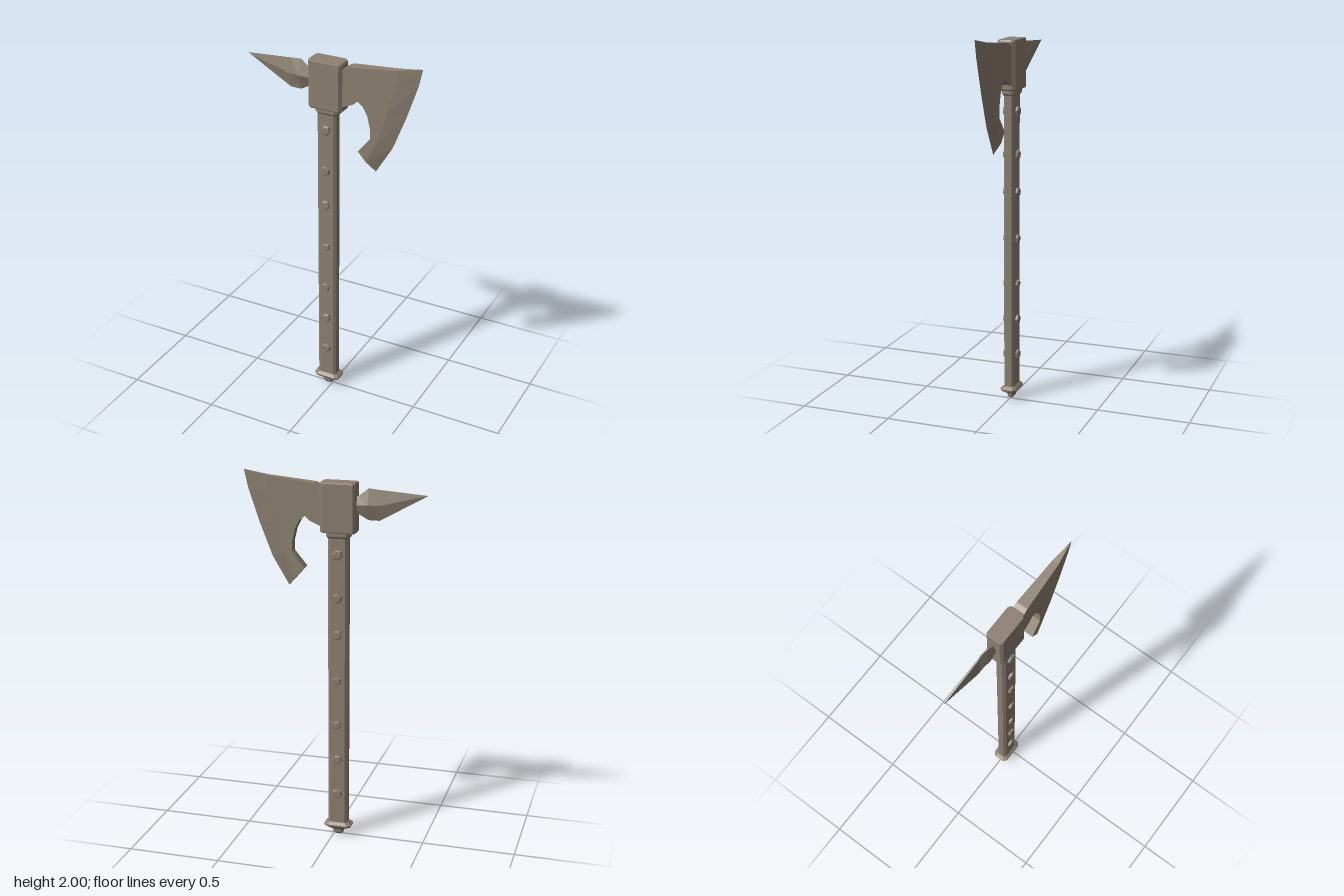
import * as THREE from 'three';

const steel = new THREE.MeshStandardMaterial({ color: 0x8c8071 });
steel.name = 'weathered steel';

// Flat-faced skin over a row of rings, each counterclockwise seen from the far end.
function loft(rings) {
  const pos = [];
  const tri = (a, b, c) => pos.push(...a, ...b, ...c);
  const n = rings[0].length;
  for (let i = 0; i < rings.length - 1; i++) {
    const a = rings[i], b = rings[i + 1];
    for (let j = 0; j < n; j++) {
      const k = (j + 1) % n;
      tri(a[j], a[k], b[k]);
      tri(a[j], b[k], b[j]);
    }
  }
  const first = rings[0], last = rings[rings.length - 1];
  for (let j = 1; j < n - 1; j++) {
    tri(first[0], first[j + 1], first[j]);
    tri(last[0], last[j], last[j + 1]);
  }
  const g = new THREE.BufferGeometry();
  g.setAttribute('position', new THREE.Float32BufferAttribute(pos, 3));
  g.computeVertexNormals();
  return g;
}

// Chamfered rectangle lying flat at height y.
function octagon(y, hx, hz, cx, cz, x = -0.025) {
  return [
    [hx, -hz + cz], [hx - cx, -hz], [-hx + cx, -hz], [-hx, -hz + cz],
    [-hx, hz - cz], [-hx + cx, hz], [hx - cx, hz], [hx, hz - cz],
  ].map(([px, pz]) => [x + px, y, pz]);
}

export function createModel() {
  const model = new THREE.Group();
  const add = (name, geometry, parent = model) => {
    const m = new THREE.Mesh(geometry, steel);
    m.name = name;
    parent.add(m);
    return m;
  };

  // Handle, collar and pommel
  add('handle', loft([
    octagon(0.06, 0.054, 0.029, 0.014, 0.012),
    octagon(1.69, 0.054, 0.029, 0.014, 0.012),
  ]));
  add('collar', loft([
    octagon(1.67, 0.056, 0.031, 0.014, 0.012),
    octagon(1.68, 0.062, 0.037, 0.014, 0.012),
    octagon(1.71, 0.062, 0.037, 0.014, 0.012),
  ]));
  add('pommel', loft([
    octagon(0, 0.016, 0.01, 0.006, 0.004),
    octagon(0.01, 0.027, 0.017, 0.01, 0.007),
    octagon(0.03, 0.03, 0.019, 0.01, 0.007),
    octagon(0.033, 0.04, 0.024, 0.012, 0.01),
    octagon(0.052, 0.073, 0.044, 0.02, 0.016),
    octagon(0.062, 0.075, 0.046, 0.02, 0.016),
    octagon(0.076, 0.057, 0.032, 0.014, 0.012),
  ]));

  // Rivets running through the handle
  const rivets = new THREE.Group();
  rivets.name = 'rivets';
  model.add(rivets);
  [[0.25, 0.027], [0.45, 0.026], [0.65, 0.022], [0.9, 0.023],
    [1.155, 0.025], [1.355, 0.026], [1.585, 0.028]].forEach(([y, r], i) => {
    for (const side of [1, -1]) {
      const profile = [[r, 0], [r, 0.012], [r * 0.8, 0.017], [0, 0.017]];
      const g = new THREE.LatheGeometry(profile.map(p => new THREE.Vector2(...p)), 6).toNonIndexed();
      g.computeVertexNormals();
      g.rotateY(i * 0.4);
      g.rotateX(side * Math.PI / 2);
      add('rivet', g, rivets).position.set(-0.025, y, side * 0.026);
    }
  });

  // Head block with chamfered ends
  const headRing = (y, s) => [
    [0.068, -0.032], [0.054, -0.048], [-0.108, -0.048], [-0.12, -0.036],
    [-0.12, 0.036], [-0.108, 0.048], [0.054, 0.048], [0.068, 0.032],
  ].map(([x, z]) => [-0.026 + (x + 0.026) * s, y, z * s]);
  add('headBlock', loft([
    headRing(1.7, 0.95), headRing(1.707, 1), headRing(1.952, 1), headRing(1.96, 0.95),
  ]));

  // Back spike with a diamond section
  const diamond = (x, low, high, z) => {
    const mid = (low + high) / 2;
    return [[x, high, 0], [x, mid, -z], [x, low, 0], [x, mid, z]];
  };
  add('spike', loft([
    diamond(-0.1, 1.8, 1.89, 0.017),
    diamond(-0.125, 1.8, 1.89, 0.017),
    diamond(-0.18, 1.77, 1.933, 0.027),
    diamond(-0.24, 1.77, 1.928, 0.016),
    diamond(-0.485, 1.909, 1.911, 0.001),
  ]));

  // Blade body: an outline whose thickness falls towards the cutting edge
  const halfThickness = x => 0.032 - (x - 0.065) * 0.048;
  const bevel = [[0.36, 1.976], [0.35, 1.9], [0.31, 1.74], [0.26, 1.58], [0.2, 1.453]];
  const edge = [[0.485, 2], [0.465, 1.91], [0.405, 1.73], [0.335, 1.55], [0.245, 1.4]];
  const outline = [
    [0.05, 1.925], [0.065, 1.93], [0.1, 1.95], ...bevel,
    [0.155, 1.505], [0.22, 1.585], [0.22, 1.64], [0.205, 1.705], [0.18, 1.755],
    [0.15, 1.777], [0.125, 1.755], [0.065, 1.73], [0.05, 1.73],
  ];
  const body = new THREE.ExtrudeGeometry(
    new THREE.Shape(outline.map(p => new THREE.Vector2(...p))),
    { depth: 2, bevelEnabled: false },
  );
  const p = body.attributes.position;
  for (let i = 0; i < p.count; i++) p.setZ(i, (p.getZ(i) - 1) * halfThickness(p.getX(i)));
  body.computeVertexNormals();
  add('bladeBody', body);

  // Sharpened edge of the blade
  add('bladeEdge', loft(edge.map(([ex, ey], i) => {
    const [x, y] = bevel[i], z = halfThickness(x);
    return [[ex, ey, 0], [x, y, z], [x, y, -z]];
  })));

  return model;
}
